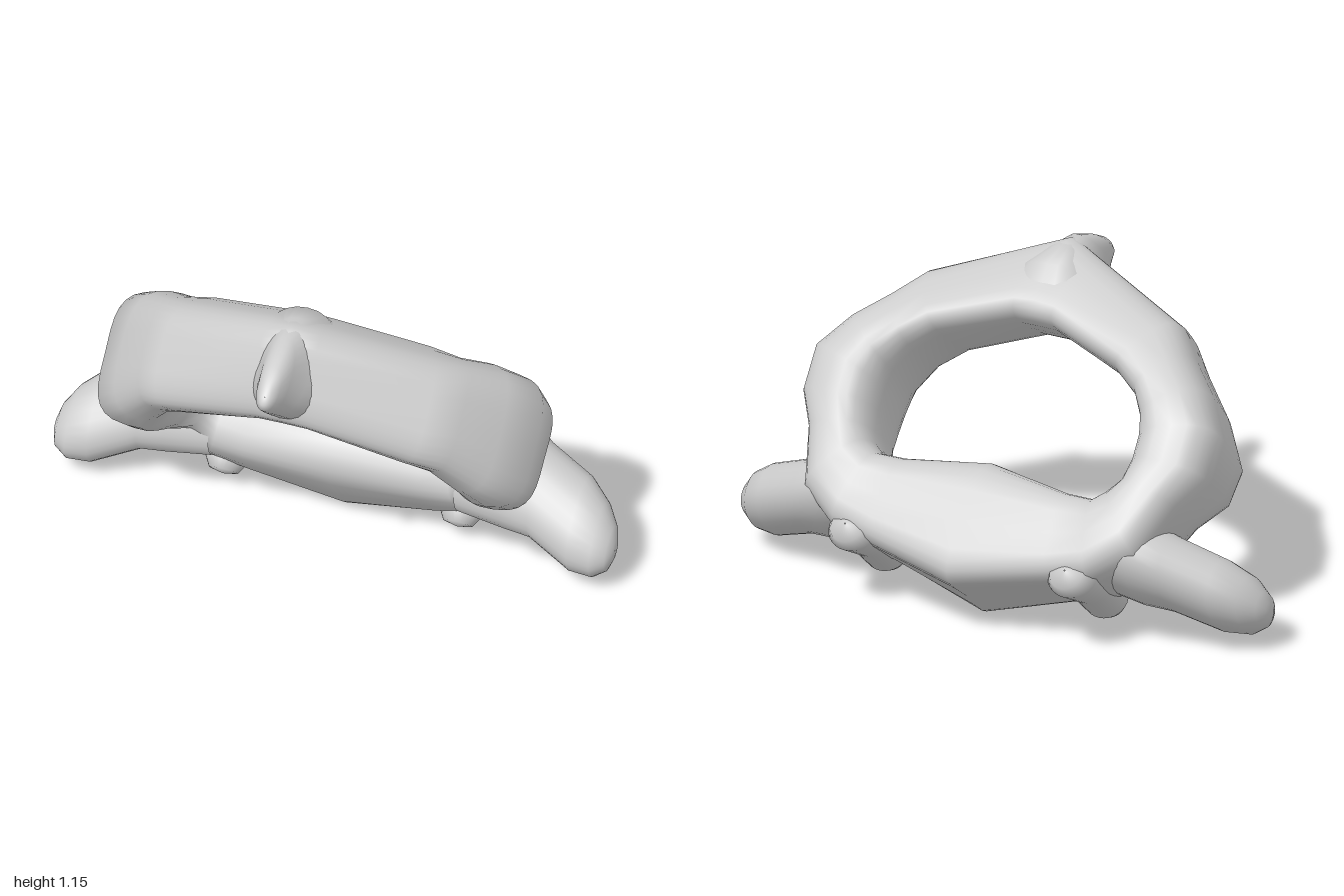
import * as THREE from 'three';

const material = new THREE.MeshStandardMaterial({ color: 0xcccccc, side: THREE.DoubleSide });
const lerp = THREE.MathUtils.lerp;
const SIDES = 28;

// Bone axes: x sideways, u along the tilted ring plane (up and forward), n along the hole axis (up and back)
const place = (x, u, n) => [x, (u + n) * Math.SQRT1_2, (u - n) * Math.SQRT1_2];

// Rounded-square cross-section coordinates, each from -1 to 1
function sectionPoint(j, power) {
  const t = (j / SIDES) * Math.PI * 2;
  const soft = (v) => Math.sign(v) * Math.abs(v) ** power;
  return [soft(Math.cos(t)), soft(Math.sin(t))];
}

// Skin through rows of points; faces are turned outward by checking the enclosed volume
function skin(name, rows, loop) {
  const positions = rows.flat(2);
  const index = [];
  const count = rows.length;
  for (let i = 0; i < (loop ? count : count - 1); i++) {
    for (let j = 0; j < SIDES; j++) {
      const k = (j + 1) % SIDES;
      const next = (i + 1) % count;
      const a = i * SIDES + j, b = i * SIDES + k, c = next * SIDES + k, d = next * SIDES + j;
      index.push(a, b, c, a, c, d);
    }
  }
  const point = (i) => new THREE.Vector3().fromArray(positions, i * 3);
  let volume = 0;
  for (let i = 0; i < index.length; i += 3) {
    volume += point(index[i]).dot(point(index[i + 1]).cross(point(index[i + 2])));
  }
  if (volume < 0) index.reverse();
  const geometry = new THREE.BufferGeometry();
  geometry.setAttribute('position', new THREE.Float32BufferAttribute(positions, 3));
  geometry.setIndex(index);
  geometry.computeVertexNormals();
  const mesh = new THREE.Mesh(geometry, material);
  mesh.name = name;
  return mesh;
}

// Half ring, arch to body: outer x, inner x, then [u, n] of the corners
// outer low, outer high, inner low, inner high; corner softness; waist depth of the outer wall
const RING = [
  [0.00, 0.00, [0.94, 0.30], [1.11, 0.62], [0.78, 0.31], [0.69, 0.73], 0.6, 0],
  [0.10, 0.07, [0.92, 0.30], [1.06, 0.62], [0.78, 0.31], [0.69, 0.73], 0.65, 0],
  [0.48, 0.34, [0.84, 0.27], [0.86, 0.62], [0.67, 0.28], [0.60, 0.72], 0.65, 0],
  [0.57, 0.43, [0.74, 0.28], [0.75, 0.64], [0.59, 0.27], [0.54, 0.70], 0.7, 0],
  [0.69, 0.48, [0.62, 0.24], [0.64, 0.66], [0.50, 0.24], [0.46, 0.71], 0.75, 0.01],
  [0.80, 0.49, [0.48, 0.23], [0.50, 0.66], [0.42, 0.21], [0.40, 0.70], 0.75, 0.03],
  [0.80, 0.49, [0.35, 0.24], [0.33, 0.63], [0.36, 0.21], [0.32, 0.68], 0.75, 0.03],
  [0.72, 0.48, [0.23, 0.27], [0.20, 0.63], [0.29, 0.24], [0.25, 0.66], 0.75, 0.02],
  [0.64, 0.45, [0.05, 0.28], [-0.02, 0.63], [0.22, 0.28], [0.21, 0.66], 0.7, 0],
  [0.49, 0.41, [-0.06, 0.22], [-0.13, 0.62], [0.19, 0.24], [0.18, 0.64], 0.6, 0],
  [0.34, 0.31, [-0.10, 0.20], [-0.17, 0.60], [0.19, 0.23], [0.18, 0.64], 0.55, 0.02],
  [0.00, 0.00, [-0.22, 0.16], [-0.27, 0.62], [0.25, 0.22], [0.23, 0.64], 0.55, 0.045],
];

function ringRow([xo, xi, outLow, outHigh, inLow, inHigh, power, waist], side) {
  const out = new THREE.Vector2(xo ? xo - xi : 0, outLow[0] - inLow[0]).normalize();
  return Array.from({ length: SIDES }, (_, j) => {
    const [a, b] = sectionPoint(j, power);
    const s = (a + 1) / 2, t = (b + 1) / 2;
    const [u, n] = [0, 1].map((k) => lerp(lerp(inLow[k], inHigh[k], t), lerp(outLow[k], outHigh[k], t), s));
    const dent = waist * s * (1 - b * b);
    return place(side * (lerp(xi, xo, s) - dent * out.x), u - dent * out.y, n);
  });
}

// Side process sections: x, centre u, centre n, half size in u, half size in n
const PROCESS = [
  [0.44, 0.07, 0.42, 0.13, 0.20],
  [0.60, 0.05, 0.40, 0.13, 0.20],
  [0.70, 0.045, 0.355, 0.115, 0.165],
  [0.86, 0.035, 0.275, 0.11, 0.165],
  [0.94, 0.035, 0.235, 0.09, 0.13],
  [0.985, 0.035, 0.215, 0.055, 0.08],
  [1.00, 0.035, 0.21, 0.025, 0.035],
  [1.00, 0.035, 0.21, 0.001, 0.001],
];

// Spine sections: u, half width, n low, n high
const SPINE = [
  [0.80, 0.20, 0.34, 0.68],
  [0.91, 0.15, 0.315, 0.70],
  [1.00, 0.09, 0.31, 0.65],
  [1.08, 0.055, 0.305, 0.57],
  [1.13, 0.04, 0.305, 0.46],
  [1.15, 0.02, 0.32, 0.40],
  [1.15, 0.001, 0.349, 0.351],
];

// Ridge sections along the body: n, centre u, half width, height
const RIDGE = [
  [0.18, -0.05, 0.002, 0.002],
  [0.19, -0.05, 0.05, 0.05],
  [0.24, -0.05, 0.08, 0.075],
  [0.38, -0.06, 0.08, 0.075],
  [0.53, -0.10, 0.09, 0.08],
  [0.58, -0.11, 0.06, 0.06],
  [0.60, -0.11, 0.002, 0.002],
];

export function createModel() {
  const model = new THREE.Group();
  model.name = 'vertebra';

  // Closed ring: arch, side masses and body
  const left = RING.map((s) => ringRow(s, 1));
  const right = RING.slice(1, -1).reverse().map((s) => ringRow(s, -1));
  model.add(skin('ring', [...left, ...right], true));

  // Central spine on the arch
  const sections = (list, fn, power) => list.map((s) =>
    Array.from({ length: SIDES }, (_, j) => fn(s, ...sectionPoint(j, power))));
  model.add(skin('spine', sections(SPINE, ([u, w, low, high], a, b) =>
    place(w * a, u, lerp(low, high, (b + 1) / 2)), 0.9), false));

  // Mirrored side processes and small body ridges
  for (const [label, side] of [['left', 1], ['right', -1]]) {
    model.add(skin(label + 'SideProcess', sections(PROCESS, ([x, u, n, ru, rn], a, b) =>
      place(side * x, u + ru * a, n + rn * b), 0.9), false));
    model.add(skin(label + 'BodyRidge', sections(RIDGE, ([n, u, w, h], a, b) =>
      place(side * (0.42 + w * a), u + h * b, n), 1), false));
  }
  return model;
}
